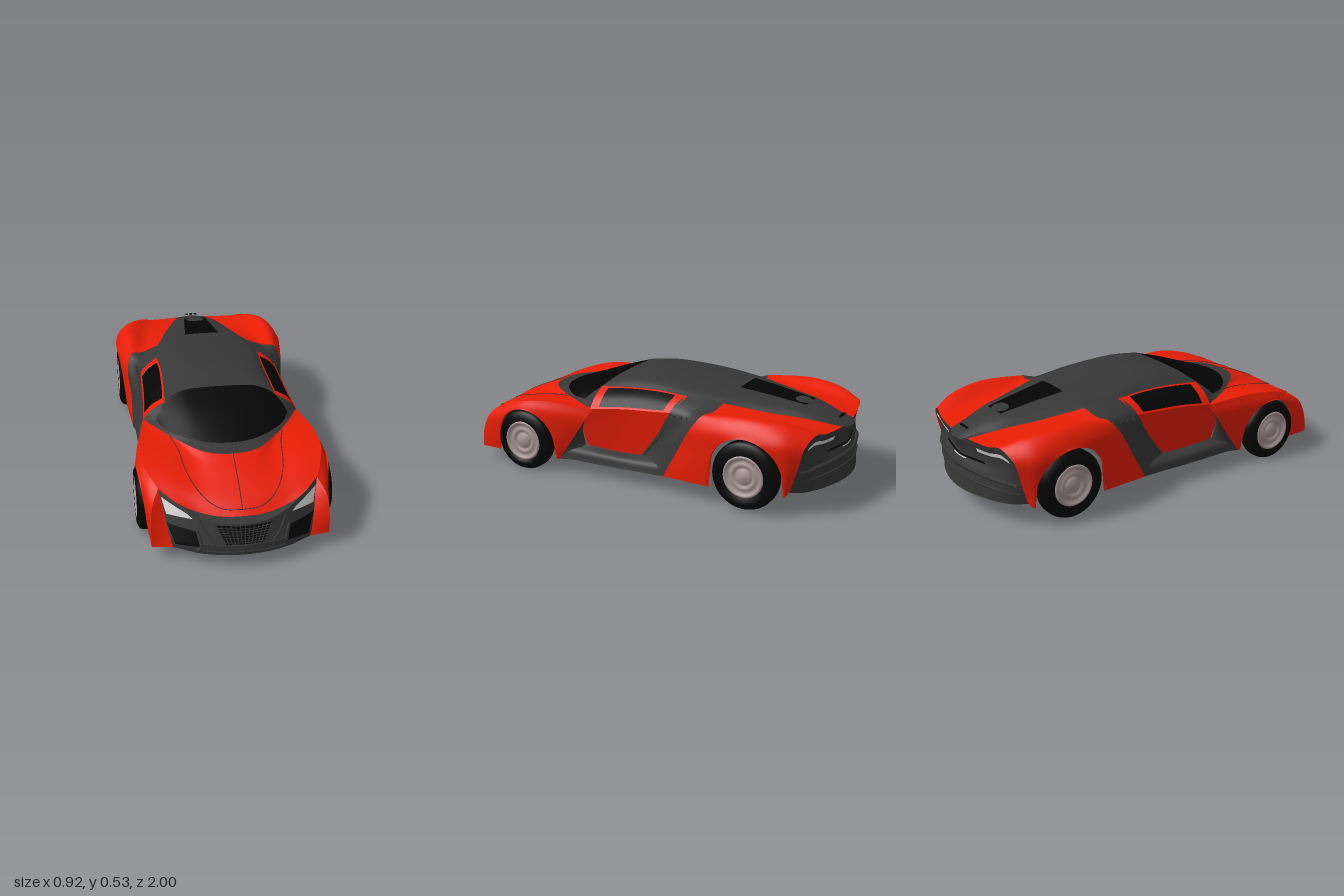
import * as THREE from 'three';

const mat = (name, color) => {
  const m = new THREE.MeshStandardMaterial({ color, side: THREE.DoubleSide });
  m.name = name;
  return m;
};

// point on a smooth surface through a net of control points, u along rows, v across them
function surf(net, u, v) {
  const V = (p) => new THREE.Vector3(p[0], p[1], p[2] ?? 0);
  const across = net.map((r) => new THREE.CatmullRomCurve3(r.map(V)).getPoint(u));
  return new THREE.CatmullRomCurve3(across).getPoint(v);
}

// mirror half rows (starting at x = 0) into full rows
const sym = (rows) => rows.map((r) => [...r.slice(1).reverse().map(([x, y, z]) => [-x, y, z]), ...r]);

// nose surface: depth for a given x and y
const F = (x, y) => [x, y, 0.997 - 0.9 * x * x - Math.max(0, y - 0.1) * (0.2 + 0.7 * Math.abs(x))];
const onNose = (o) => (p) => p.set(p.x, p.y, F(p.x, p.y)[2] + o);

export function createModel() {
  const car = new THREE.Group();
  car.name = 'sportsCar';
  const red = mat('red paint', 0xea1e06), dark = mat('dark grey trim', 0x373737);
  const black = mat('black glass and rubber', 0x040404), rose = mat('wheel metal', 0xa89494);
  const light = mat('lamp grey', 0xd6d6d6);

  const add = (name, geo, m, parent = car) => {
    const mesh = new THREE.Mesh(geo, m);
    mesh.name = name;
    parent.add(mesh);
    return mesh;
  };
  // smooth panel; arch = [z, y, radius] lifts the lower edge around a wheel
  function patch(name, net, m, { nu = 16, nv = 12, u = [0, 1], v = [0, 1], off = [0, 0, 0], map, arch, side = 1 } = {}) {
    const pos = [], idx = [];
    for (let j = 0; j <= nv; j++) for (let i = 0; i <= nu; i++) {
      const p = surf(net, u[0] + (u[1] - u[0]) * i / nu, v[0] + (v[1] - v[0]) * j / nv);
      if (map) map(p);
      if (arch) {
        const d = arch[2] ** 2 - (p.z - arch[0]) ** 2;
        if (d > 0) p.y = Math.max(p.y, arch[1] + Math.sqrt(d));
      }
      pos.push((p.x + off[0]) * side, p.y + off[1], p.z + off[2]);
      if (i < nu && j < nv) {
        const a = j * (nu + 1) + i, b = a + nu + 1;
        if (side > 0) idx.push(a, b, a + 1, b, b + 1, a + 1);
        else idx.push(a, a + 1, b, b, a + 1, b + 1);
      }
    }
    const g = new THREE.BufferGeometry();
    g.setAttribute('position', new THREE.Float32BufferAttribute(pos, 3));
    g.setIndex(idx);
    g.computeVertexNormals();
    return add(name, g, m);
  }
  const pair = (name, net, m, o = {}) => [['left', 1], ['right', -1]].forEach(([n, side]) => patch(n + name, net, m, { ...o, side }));
  const tube = (name, pts, r, m) => add(name, new THREE.TubeGeometry(new THREE.CatmullRomCurve3(pts), 32, r, 5), m);

  // hood and fender tops
  const hoodRear = [[0, .37, .63], [.12, .37, .6], [.24, .37, .47], [.32, .375, .36], [.385, .36, .22]];
  const hoodFront = [[0, .222, .928], [.1, .222, .918], [.2, .238, .89], F(.29, .27), [.365, .305, .78]];
  const hood = sym([hoodFront,
    [[0, .275, .86], [.1, .278, .85], [.2, .29, .815], [.3, .315, .76], [.4, .335, .7]],
    [[0, .335, .73], [.1, .33, .73], [.2, .325, .7], [.31, .35, .64], [.425, .36, .6]],
    [[0, .36, .66], [.11, .355, .65], [.2, .35, .58], [.31, .365, .52], [.42, .375, .47]],
    hoodRear]);
  patch('hood', hood, red, { nu: 48, nv: 28 });
  for (const s of [-1, 0, 1]) {
    const path = [[.6, 1], [.6, .8], [.56, .5], [.46, .28], [.34, .16], [.2, .1], [0, .09]];
    const uv = path.map(([a, b], i) => s ? [.5 + s * a / 2, b] : [.5, .98 - i * .148]);
    tube('hoodSeam', uv.map(([a, b]) => surf(hood, a, b).add(new THREE.Vector3(0, .0008, .0005))), .002, dark);
  }

  // front fender sides and nose corners
  const corner = [[.365, .305, .78], [.4, .25, .845], [.41, .16, .88], [.41, .07, .89]];
  const fenderRear = [[.385, .36, .22], [.4, .3, .26], [.395, .19, .335], [.395, .07, .42]];
  pair('FrontFender', [corner,
    [[.4, .335, .7], [.43, .27, .74], [.425, .16, .765], [.415, .07, .775]],
    [[.425, .36, .6], [.447, .32, .6], [.45, .2, .6], [.44, .07, .6]],
    [[.42, .375, .47], [.435, .32, .45], [.43, .2, .45], [.415, .07, .46]],
    fenderRear], red, { nu: 24, nv: 90, arch: [.6, .155, .165] });
  pair('NoseCorner', [corner, [[.365, .305, .78], F(.352, .25), F(.337, .16), F(.315, .07)]], red);

  // front bumper with lamps and grilles
  const bumperTop = [[0, .21], [.1, .212], [.2, .233], [.29, .27], [.365, .305]];
  patch('frontBumper', sym([bumperTop, [[0, .15], [.1, .15], [.19, .155], [.27, .16], [.337, .16]],
    [[0, .062], [.12, .062], [.22, .064], [.28, .07], [.315, .07]]]), dark, { nu: 40, nv: 14, map: onNose(0) });
  patch('bumperShelf', sym([hoodFront, bumperTop.map(([x, y]) => F(x, y))]), dark, { nu: 40, nv: 2 });
  pair('Headlamp', [[[.356, .28], [.25, .237]], [[.338, .215], [.225, .218]]], light, { map: onNose(.005) });
  pair('SideGrille', [[[.338, .178], [.215, .166]], [[.305, .095], [.2, .1]]], black, { map: onNose(.004) });
  patch('centreGrille', [[[-.13, .203], [.13, .203]], [[-.09, .118], [.09, .118]]], black, { map: onNose(.003) });
  const nose = (x, y) => new THREE.Vector3(...F(x, y)).add(new THREE.Vector3(0, 0, .004));
  for (let i = -6; i <= 6; i++) tube('grilleBar', [nose(i * .021, .203), nose(i * .0147, .118)], .0026, dark);
  for (let i = 1; i < 8; i++) {
    const y = .115 + i * .0108, w = .088 + i * .005;
    tube('grilleRail', [nose(-w, y), nose(0, y), nose(w, y)], .0022, dark);
  }
  for (const s of [-1, 1]) {
    tube('grilleStrut', [nose(s * .195, .215), nose(s * .16, .15), nose(s * .13, .118)], .005, dark);
    tube('sideGrilleFrame', [nose(s * .21, .175), nose(s * .197, .14), nose(s * .192, .1), nose(s * .21, .085)], .005, dark);
  }
  for (const y of [.112, .08]) tube('lowerSlotFrame', [-.19, -.1, 0, .1, .19].map((x) => nose(x, y)), .005, dark);
  add('slotDivider', new THREE.BoxGeometry(.012, .03, .01), dark).position.copy(nose(0, .096));

  // windscreen, cowl and roof
  const glassBase = [[0, .383, .55], [.11, .383, .53], [.2, .383, .475], [.285, .382, .385], [.325, .388, .3]];
  const glassTop = [[0, .498, .19], [.1, .496, .19], [.18, .49, .195], [.24, .472, .21], [.275, .452, .23]];
  const glassMid = [[0, .447, .36], [.1, .446, .355], [.18, .443, .34], [.255, .432, .3], [.304, .423, .265]];
  patch('windscreen', sym([glassBase, glassMid, glassTop]), black, { nu: 32 });
  patch('cowl', sym([hoodRear, glassBase]), dark, { nu: 40, nv: 4 });
  pair('FrontPillar', [[glassBase[4], glassMid[4], glassTop[4]], [[.385, .362, .235], [.342, .412, .232], [.271, .454, .23]]], dark);
  const row = (z, ...xy) => xy.map(([x, y]) => [x, y, z]);
  const roofRear = row(-.43, [0, .495], [.1, .49], [.17, .48], [.21, .468], [.245, .45]);
  patch('roof', sym([glassTop,
    row(.05, [0, .524], [.1, .52], [.18, .51], [.23, .492], [.265, .468]),
    row(-.1, [0, .524], [.1, .52], [.18, .51], [.23, .493], [.262, .472]),
    row(-.25, [0, .513], [.1, .508], [.18, .498], [.23, .485], [.268, .465]),
    roofRear]), dark, { nu: 32, nv: 24 });
  patch('tailSpine', sym([roofRear,
    row(-.55, [0, .479], [.085, .475], [.145, .465], [.18, .453], [.21, .432]),
    row(-.65, [0, .465], [.075, .461], [.125, .451], [.158, .438], [.185, .418]),
    row(-.8, [0, .441], [.055, .438], [.09, .43], [.115, .418], [.135, .4]),
    [[0, .365, -.998], [.025, .364, -.995], [.045, .362, -.988], [.06, .362, -.98], [.08, .37, -.97]]]), dark, { nu: 32, nv: 24 });
  patch('rearWindow', [[[-.092, -.45], [.092, -.45]], [[-.06, -.78], [.06, -.78]]], black, {
    map: (p) => { // lay the glass just above the spine
      const z = p.y, x = p.x;
      p.set(x, .5 + (z + .43) * .145 - Math.max(0, -.6 - z) * .02 - x * x * .4, z);
    } });
  for (const x of [-.025, 0, .025]) add('tailVent', new THREE.BoxGeometry(.014, .006, .012), black).position.set(x, .401, -.94);

  // doors: framed side window above a waist, inward-leaning skin below
  const waist = [[.385, .362, .235], [.37, .383, .05], [.365, .393, -.1], [.36, .4, -.2]];
  const upper = [[[.271, .454, .23], [.261, .47, .05], [.258, .474, -.1], [.264, .467, -.25]],
    [[.342, .412, .232], [.326, .435, .05], [.32, .44, -.1], [.322, .438, -.23]], waist];
  for (const [u, v] of [[[0, 1], [0, .1]], [[0, 1], [.92, 1]], [[0, .08], [.1, .92]], [[.86, 1], [.1, .92]]])
    pair('DoorFrame', upper, red, { u, v });
  pair('SideWindow', upper, black, { u: [.07, .87], v: [.09, .93], off: [-.002, -.002, 0] });
  const doorRear = [[.36, .4, -.2], [.352, .28, -.13], [.338, .15, -.03]];
  pair('Door', [waist, [[.36, .25, .295], [.352, .265, .08], [.352, .27, -.04], doorRear[1]],
    [[.34, .15, .28], [.335, .14, .17], [.335, .14, .05], doorRear[2]]], red);

  // sills, filler behind the front wheel, side intake
  pair('Sill', [[[.34, .155, .3], [.335, .143, .1], [.336, .15, -.03], [.35, .16, -.2]],
    [[.385, .125, .38], [.385, .125, .1], [.385, .125, -.05], [.39, .13, -.21]],
    [[.395, .08, .43], [.398, .08, .1], [.398, .083, -.05], [.4, .085, -.2]]], dark);
  pair('FenderVent', [fenderRear, [[.385, .36, .235], [.36, .25, .295], [.34, .15, .29], [.37, .08, .25]]], dark);
  const fenderFront = [[.245, .45, -.43], [.33, .425, -.41], [.39, .425, -.39], [.417, .36, -.34], [.408, .24, -.27], [.41, .09, -.19]];
  pair('SideIntake', [[[.264, .467, -.24], [.322, .439, -.215], ...doorRear, [.37, .085, 0]],
    [[.262, .462, -.32], [.325, .43, -.31], [.365, .4, -.3], [.37, .3, -.22], [.365, .18, -.13], [.385, .087, -.1]],
    fenderFront], dark, { nu: 24 });
  for (const s of [-1, 1]) {
    for (let i = 0; i < 4; i++) add('intakeSlat', new THREE.BoxGeometry(.03, .01, .01), dark).position.set(s * .362, .388, -.23 - i * .035);
    tube('intakeEdge', [[.36, .4, -.21], [.354, .28, -.145], [.345, .16, -.05]].map(([x, y, z]) => new THREE.Vector3(s * x, y, z)), .006, dark);
  }

  // rear fenders, closing in a rounded tail
  const lip = [[.08, .37, -.97], [.23, .375, -.945], [.31, .388, -.925], [.385, .34, -.9]];
  pair('RearFender', [fenderFront,
    [[.21, .432, -.55], [.3, .42, -.54], [.39, .443, -.54], [.445, .38, -.52], [.44, .25, -.47], [.425, .09, -.44]],
    [[.185, .418, -.65], [.29, .415, -.65], [.395, .445, -.65], [.458, .36, -.65], [.452, .25, -.65], [.44, .09, -.65]],
    [[.135, .4, -.8], [.26, .4, -.8], [.36, .43, -.8], [.438, .36, -.81], [.436, .25, -.82], [.42, .11, -.825]],
    [...lip, [.395, .24, -.875], [.39, .13, -.84]]],
  red, { nu: 36, nv: 90, arch: [-.63, .18, .185] });

  // tail panel, lamps and rear bumper
  const tail = sym([
    [[0, .365, -.998], ...lip],
    [[0, .28, -.965], [.1, .285, -.95], [.23, .29, -.922], [.32, .3, -.905], [.39, .28, -.874]],
    [[0, .225, -.985], [.12, .22, -.97], [.25, .215, -.932], [.34, .21, -.9], [.393, .2, -.85]],
    [[0, .11, -.995], [.12, .11, -.98], [.25, .11, -.935], [.34, .112, -.88], [.388, .12, -.826]]]);
  patch('tailPanel', tail, dark, { nu: 40, nv: 24 });
  for (const u of [[.67, .94], [.06, .33]])
    patch('tailLamp', tail, light, { u, v: [.12, .19], off: [0, 0, -.005] });
  patch('rearGrille', tail, black, { u: [.3, .7], v: [.36, .41], off: [0, 0, -.004] });
  patch('tailStrip', tail, light, { u: [.43, .57], v: [.41, .44], off: [0, 0, -.007] });
  for (const [v, r] of [[.64, .012], [.8, .006]])
    tube('bumperRail', [.06, .2, .35, .5, .65, .8, .94].map((u) => surf(tail, u, v)), r, dark);

  // wheels: tyre and stepped rim turned around the axle
  const lathe = (pts) => new THREE.LatheGeometry(pts.map(([r, h]) => new THREE.Vector2(r, h)), 48).rotateZ(-Math.PI / 2);
  for (const s of [-1, 1]) for (const [name, r, x, y, z] of [['frontWheel', .155, .414, .155, .6], ['rearWheel', .166, .41, .18, -.63]]) {
    const wheel = new THREE.Group();
    wheel.name = name;
    const h = .045;
    add('tyre', lathe([[0, -h], [r - .03, -h], [r - .006, -h + .012], [r, -h + .028], [r, h - .028], [r - .006, h - .012], [r - .03, h], [.104, h], [.1, h - .015]]), black, wheel);
    add('rim', lathe([[.104, h - .012], [.1, h], [.09, h], [.086, h - .01], [.07, h - .012], [.066, h - .004], [.052, h - .004], [.048, h - .012], [.036, h - .012], [.033, h], [0, h + .003]]), rose, wheel);
    wheel.position.set(s * x, y, z);
    if (s < 0) wheel.rotation.y = Math.PI;
    car.add(wheel);
  }
  return car;
}
